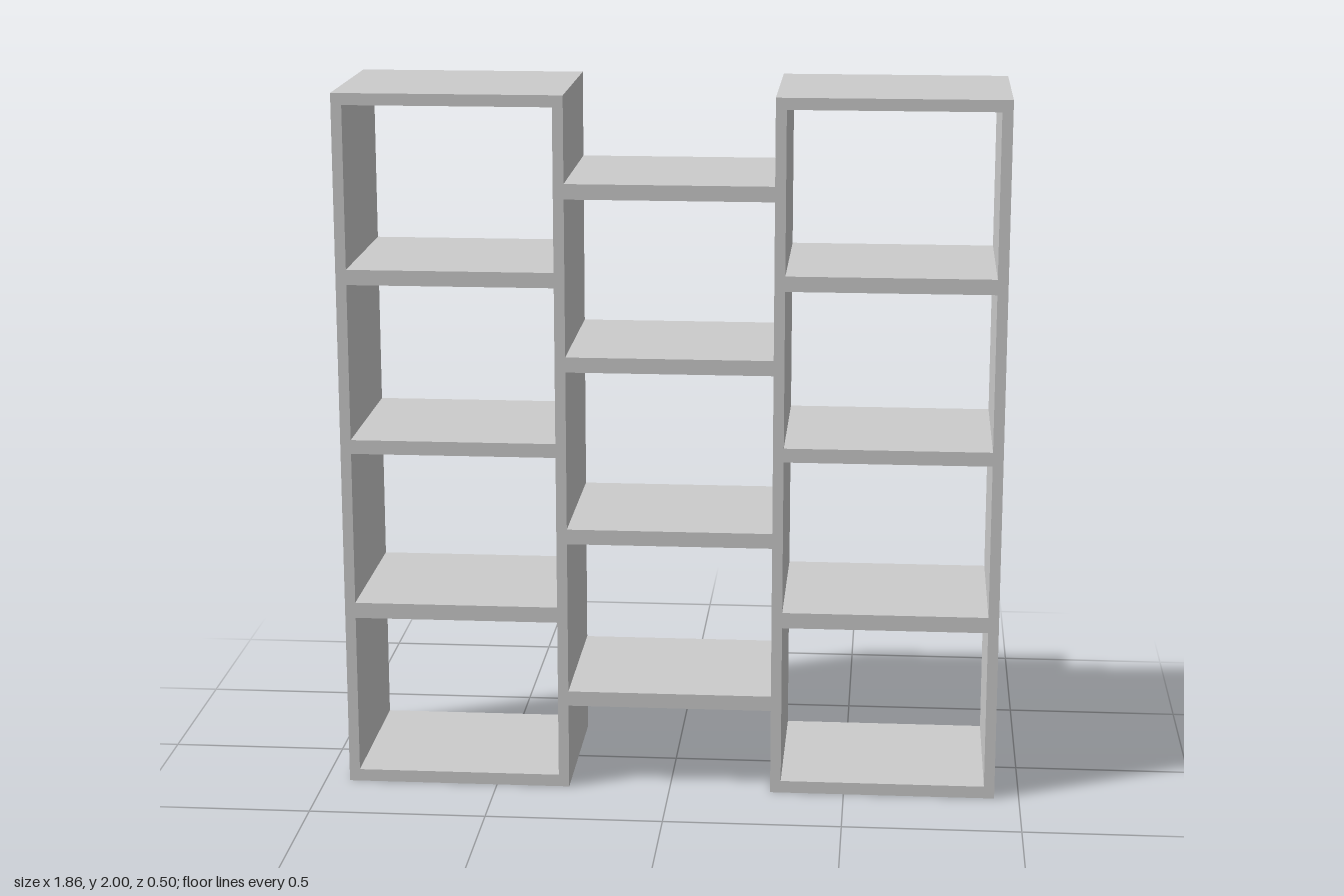
import * as THREE from 'three';

const DEPTH = 0.505;
const OUTER = 0.93;    // outer edge of the side towers
const INNER = 0.29;    // tower edge facing the centre
const PANEL = 0.03;    // upright thickness

function rectangle(Type, x0, x1, y0, y1) {
  const r = new Type();
  r.moveTo(x0, y0);
  r.lineTo(x1, y0);
  r.lineTo(x1, y1);
  r.lineTo(x0, y1);
  r.closePath();
  return r;
}

export function createModel() {
  const group = new THREE.Group();
  group.name = 'shelvingUnit';
  const material = new THREE.MeshStandardMaterial({ color: 0xcccccc });

  // Side towers: one continuous frame with four open compartments
  const openings = [[0.035, 0.495], [0.54, 0.98], [1.02, 1.465], [1.508, 1.967]];
  const width = OUTER - INNER;
  const outline = rectangle(THREE.Shape, -width / 2, width / 2, 0, 2);
  for (const [y0, y1] of openings) {
    outline.holes.push(rectangle(THREE.Path, -width / 2 + PANEL, width / 2 - PANEL, y0, y1));
  }
  const towerGeometry = new THREE.ExtrudeGeometry(outline, { depth: DEPTH, bevelEnabled: false });
  towerGeometry.translate(0, 0, -DEPTH / 2);
  for (const [name, side] of [['leftTower', 1], ['rightTower', -1]]) {
    const tower = new THREE.Mesh(towerGeometry, material);
    tower.name = name;
    tower.position.x = side * (OUTER + INNER) / 2;
    group.add(tower);
  }

  // Bridging shelves between the towers, staggered at half height
  const shelfGeometry = new THREE.BoxGeometry(INNER * 2, 0.043, DEPTH);
  [0.268, 0.75, 1.248, 1.735].forEach((y, i) => {
    const shelf = new THREE.Mesh(shelfGeometry, material);
    shelf.name = `middleShelf${i + 1}`;
    shelf.position.y = y;
    group.add(shelf);
  });

  return group;
}
